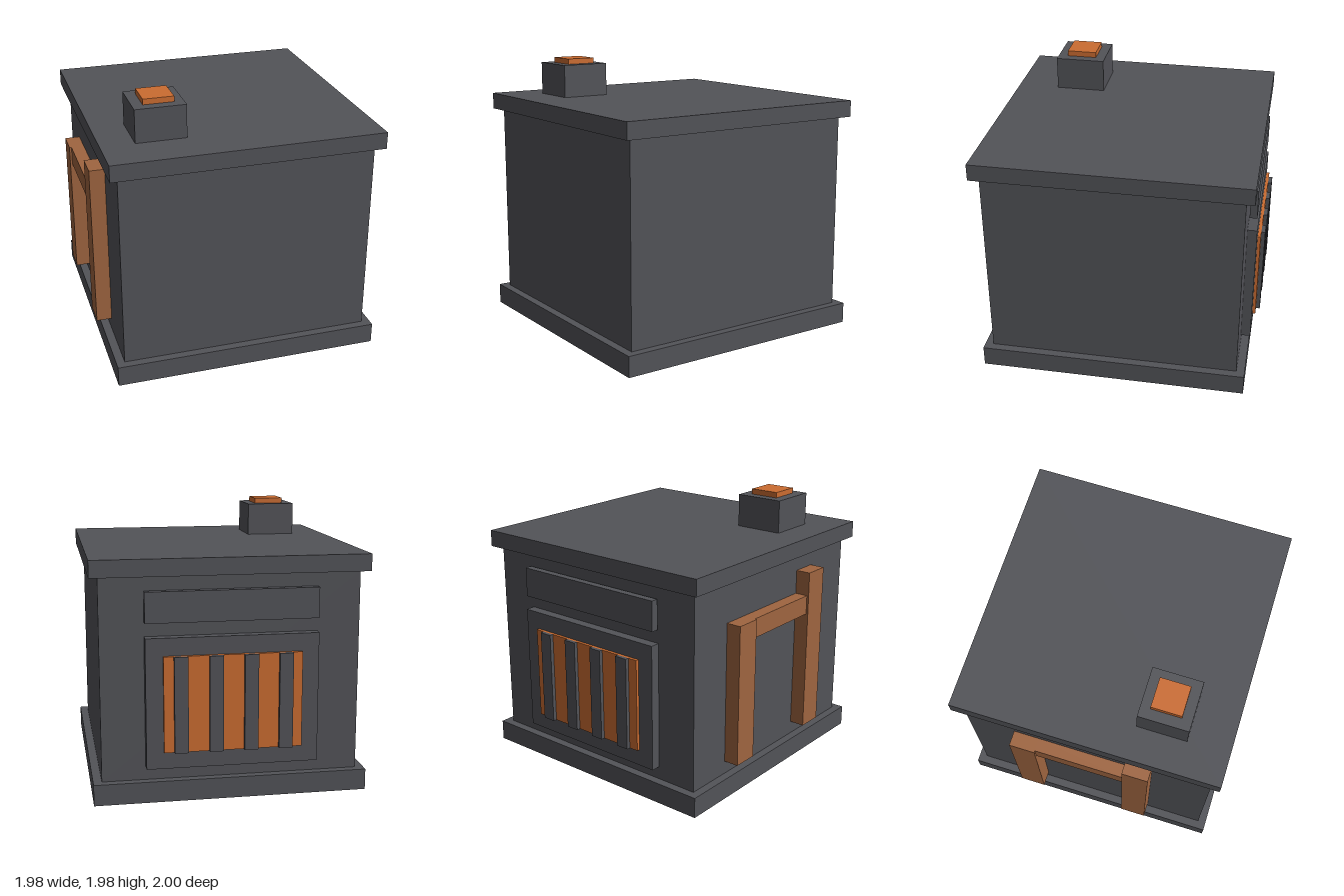
import * as THREE from 'three';

export function createModel() {
  const model = new THREE.Group();
  model.name = 'furnace';

  const material = (name, color) => {
    const m = new THREE.MeshStandardMaterial({ color });
    m.name = name;
    return m;
  };
  const iron = material('dark iron', 0x525358);
  const glow = material('glowing orange', 0xcb6c31);
  const copper = material('copper brown', 0x9f6540);

  // Box given by its extents along each axis
  const block = (name, mat, [x0, x1], [y0, y1], [z0, z1]) => {
    const mesh = new THREE.Mesh(new THREE.BoxGeometry(x1 - x0, y1 - y0, z1 - z0), mat);
    mesh.name = name;
    mesh.position.set((x0 + x1) / 2, (y0 + y1) / 2, (z0 + z1) / 2);
    model.add(mesh);
  };

  // Casing
  const slabX = [-0.945, 0.99], slabZ = [-0.94, 1];
  block('base', iron, slabX, [0, 0.15], slabZ);
  block('body', iron, [-0.885, 0.93], [0.15, 1.58], [-0.88, 0.94]);
  block('lid', iron, slabX, [1.58, 1.7], slabZ);

  // Chimney with glowing top
  block('chimney', iron, [-0.705, -0.345], [1.7, 1.94], [0.335, 0.695]);
  block('chimneyEmber', glow, [-0.63, -0.413], [1.94, 1.98], [0.405, 0.623]);

  // Fire door on the back, with a plate above it
  block('doorPlate', iron, [-0.58, 0.625], [0.245, 1.165], [-0.95, -0.88]);
  block('upperPlate', iron, [-0.58, 0.625], [1.265, 1.48], [-0.943, -0.89]);
  block('fire', glow, [-0.46, 0.505], [0.365, 1.04], [-0.972, -0.95]);
  for (let i = 0; i < 4; i++) {
    const x = -0.342 + i * 0.243;
    block('grateBar', iron, [x - 0.048, x + 0.048], [0.365, 1.04], [-1, -0.972]);
  }

  // Pipes on the right side: a tall and a short upright joined by a crossbar
  block('tallPipe', copper, [-0.995, -0.885], [0.245, 1.455], [0.32, 0.51]);
  block('shortPipe', copper, [-0.995, -0.885], [0.245, 1.28], [-0.525, -0.335]);
  block('crossPipe', copper, [-0.98, -0.885], [1.14, 1.28], [-0.335, 0.32]);

  return model;
}
